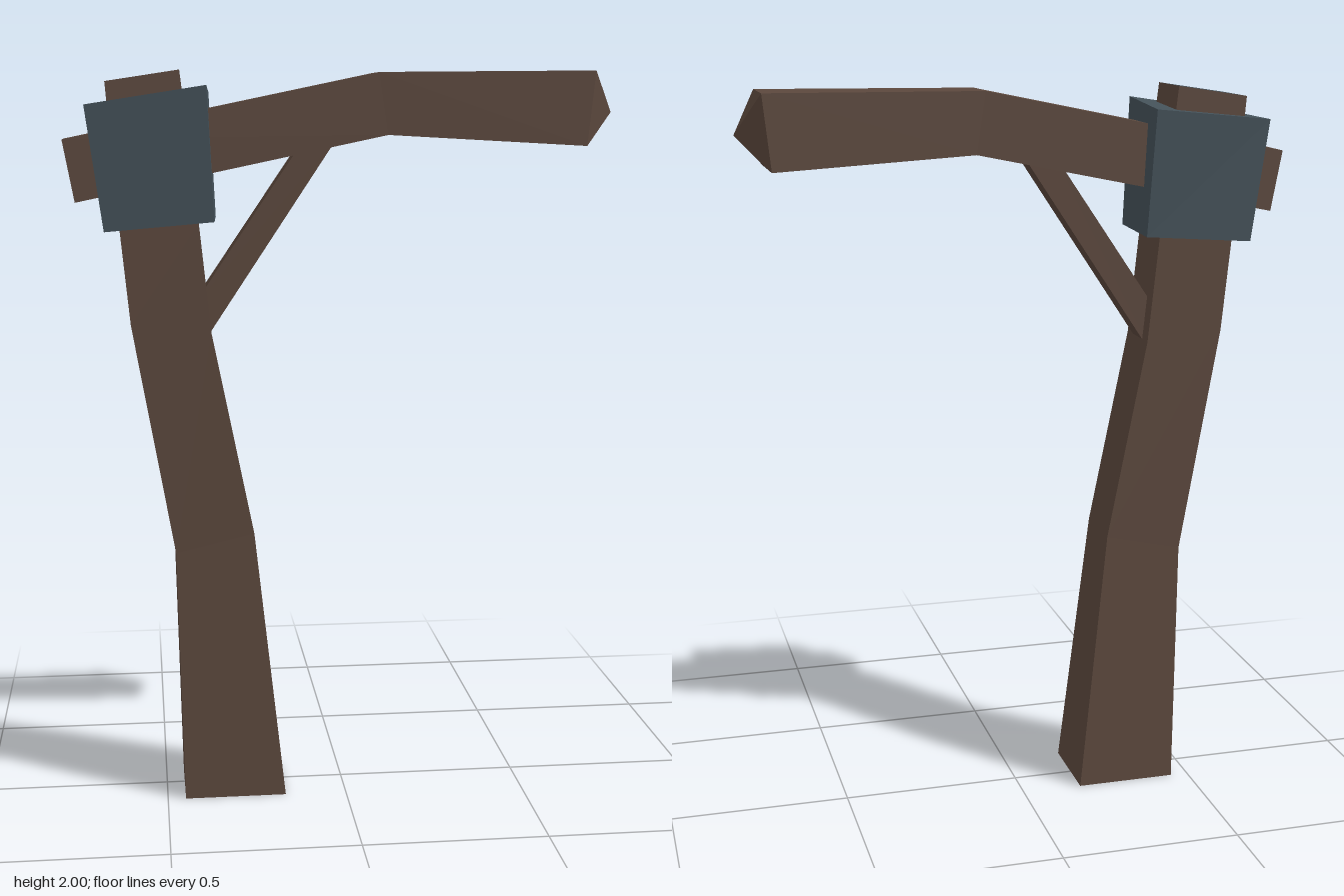
import * as THREE from 'three';

const wood = new THREE.MeshStandardMaterial({ color: 0x5c483d, flatShading: true, side: THREE.DoubleSide });
wood.name = 'brown wood';
const slate = new THREE.MeshStandardMaterial({ color: 0x445159, flatShading: true, side: THREE.DoubleSide });
slate.name = 'slate metal';

// Four corners of a cross-section: side a and side b in the xy plane, spread from z0 to z1
const ring = (ax, ay, bx, by, z0, z1) => [[ax, ay, z1], [bx, by, z1], [bx, by, z0], [ax, ay, z0]];

// Skins a row of four-cornered rings with flat faces, with optional end caps
function loft(name, rings, material, capStart, capEnd) {
  const pos = [];
  const quad = (a, b, c, d) => pos.push(...a, ...b, ...c, ...a, ...c, ...d);
  for (let i = 0; i < rings.length - 1; i++) {
    for (let j = 0; j < 4; j++) {
      const k = (j + 1) % 4;
      quad(rings[i][j], rings[i][k], rings[i + 1][k], rings[i + 1][j]);
    }
  }
  if (capStart) quad(...[...rings[0]].reverse());
  if (capEnd) quad(...rings[rings.length - 1]);
  const geo = new THREE.BufferGeometry();
  geo.setAttribute('position', new THREE.Float32BufferAttribute(pos, 3));
  geo.computeVertexNormals();
  const mesh = new THREE.Mesh(geo, material);
  mesh.name = name;
  return mesh;
}

export function createModel() {
  const group = new THREE.Group();
  group.name = 'woodenPostWithArm';

  // Crooked post, open underneath
  const postTop = ring(-0.63, 1.97, -0.435, 2.0, -0.07, 0.09);
  group.add(loft('post', [
    ring(-0.45, 0, -0.17, 0, -0.1, 0.13),
    ring(-0.465, 0.7, -0.25, 0.75, -0.075, 0.1),
    ring(-0.575, 1.33, -0.36, 1.305, -0.07, 0.1),
    ring(-0.6, 1.59, -0.39, 1.6, -0.07, 0.1),
    postTop,
  ], wood));

  // Slate face on the post's top end
  group.add(loft('postTopPlate', [postTop], slate, false, true));

  // Bent arm ending in a blunt point
  group.add(loft('arm', [
    ring(-0.745, 1.82, -0.715, 1.655, -0.06, 0.08),
    ring(0.095, 1.995, 0.12, 1.83, -0.06, 0.08),
    ring(0.68, 2.0, 0.66, 1.8, -0.07, 0.097),
    ring(0.745, 1.89, 0.745, 1.89, 0.012, 0.012),
  ], wood, true));

  // Diagonal brace, sunk into the post and the arm
  group.add(loft('brace', [
    ring(-0.41, 1.37, -0.39, 1.26, -0.025, 0.055),
    ring(-0.09, 1.84, -0.01, 1.83, -0.025, 0.055),
  ], wood, true, true));

  // Skewed block clamping the post and arm together
  group.add(loft('jointBlock', [
    [[-0.64, 1.58, 0.125], [-0.35, 1.605, 0.135], [-0.335, 1.605, -0.12], [-0.64, 1.58, -0.105]],
    [[-0.685, 1.91, 0.125], [-0.367, 1.96, 0.14], [-0.35, 1.945, -0.143], [-0.685, 1.91, -0.108]],
  ], slate, true, true));

  return group;
}
